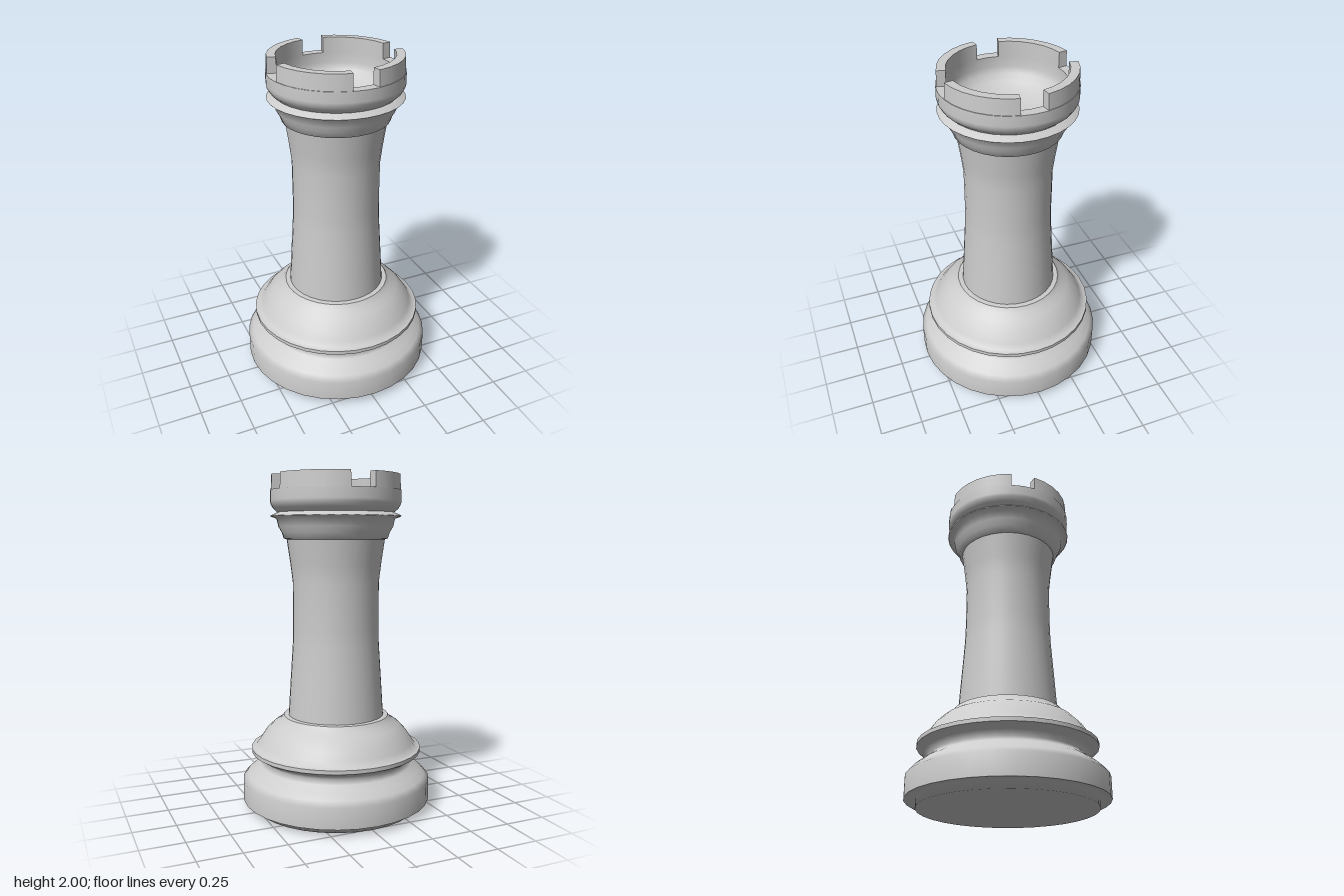
import * as THREE from 'three';

const SIDES = 32;
const STEP = (Math.PI * 2) / SIDES;

export function createModel() {
  const group = new THREE.Group();
  group.name = 'rook';
  const grey = new THREE.MeshStandardMaterial({ color: 0xcccccc, side: THREE.DoubleSide });
  grey.name = 'light grey';

  const add = (name, geometry, parent = group) => {
    const mesh = new THREE.Mesh(geometry, grey);
    mesh.name = name;
    parent.add(mesh);
    return mesh;
  };
  // Turned surface from [radius, height] pairs; normals are smooth within one profile
  const turn = (profile, segments = SIDES, start = 0) =>
    new THREE.LatheGeometry(
      profile.map(([r, y]) => new THREE.Vector2(r, y)), segments, start, segments * STEP);

  // Foot and wide base
  add('foot', turn([[0, 0], [0.51, 0], [0.51, 0.045], [0.575, 0.045]]));
  add('base', turn([
    [0.575, 0.045], [0.575, 0.17], [0.548, 0.2], [0.51, 0.232], [0.465, 0.262],
    [0.442, 0.288], [0.475, 0.315], [0.52, 0.342],
  ]));
  add('baseLip', turn([[0.52, 0.342], [0.52, 0.365]]));
  add('baseDome', turn([
    [0.52, 0.365], [0.492, 0.37], [0.472, 0.4], [0.435, 0.455], [0.385, 0.505],
    [0.342, 0.53], [0.32, 0.56],
  ]));
  add('baseTop', turn([[0.32, 0.56], [0.29, 0.562]]));

  // Waisted shaft
  add('shaft', turn([
    [0.291, 0.562], [0.282, 0.7], [0.272, 0.85], [0.262, 1], [0.259, 1.1],
    [0.259, 1.37], [0.272, 1.48], [0.293, 1.625],
  ]));

  // Neck flare with the thin collar ring
  add('neck', turn([
    [0.293, 1.625], [0.31, 1.63], [0.322, 1.665], [0.342, 1.7], [0.352, 1.745], [0.385, 1.757],
  ]));
  add('collar', turn([[0.385, 1.757], [0.39, 1.762], [0.347, 1.782]]));

  // Head band and rim under the battlements
  add('head', turn([
    [0.347, 1.782], [0.372, 1.805], [0.386, 1.83], [0.389, 1.85], [0.388, 1.91],
  ]));
  add('rim', turn([[0.388, 1.91], [0.33, 1.91]]));

  // Hollow cup inside the head
  const cup = [[0.33, 1.91], [0.33, 1.85]];
  for (let i = 1; i <= 6; i++) {
    const a = (i / 6) * Math.PI / 2;
    cup.push([0.33 * Math.cos(a), 1.85 - 0.15 * Math.sin(a)]);
  }
  add('cup', turn(cup));

  // Four battlements, each six sides wide with two-side gaps between
  const endShape = new THREE.Shape(
    [[0.33, 1.91], [0.384, 1.91], [0.38, 2], [0.33, 2]].map(([x, y]) => new THREE.Vector2(x, y)));
  for (let i = 0; i < 4; i++) {
    const start = STEP + i * Math.PI / 2;
    const battlement = new THREE.Group();
    battlement.name = 'battlement' + (i + 1);
    add('outerWall', turn([[0.384, 1.91], [0.38, 2]], 6, start), battlement);
    add('wallTop', turn([[0.38, 2], [0.33, 2]], 6, start), battlement);
    add('innerWall', turn([[0.33, 2], [0.33, 1.91]], 6, start), battlement);
    for (const angle of [start, start + 6 * STEP]) {
      const end = add('wallEnd', new THREE.ShapeGeometry(endShape), battlement);
      end.rotation.y = angle - Math.PI / 2;
    }
    group.add(battlement);
  }
  return group;
}
